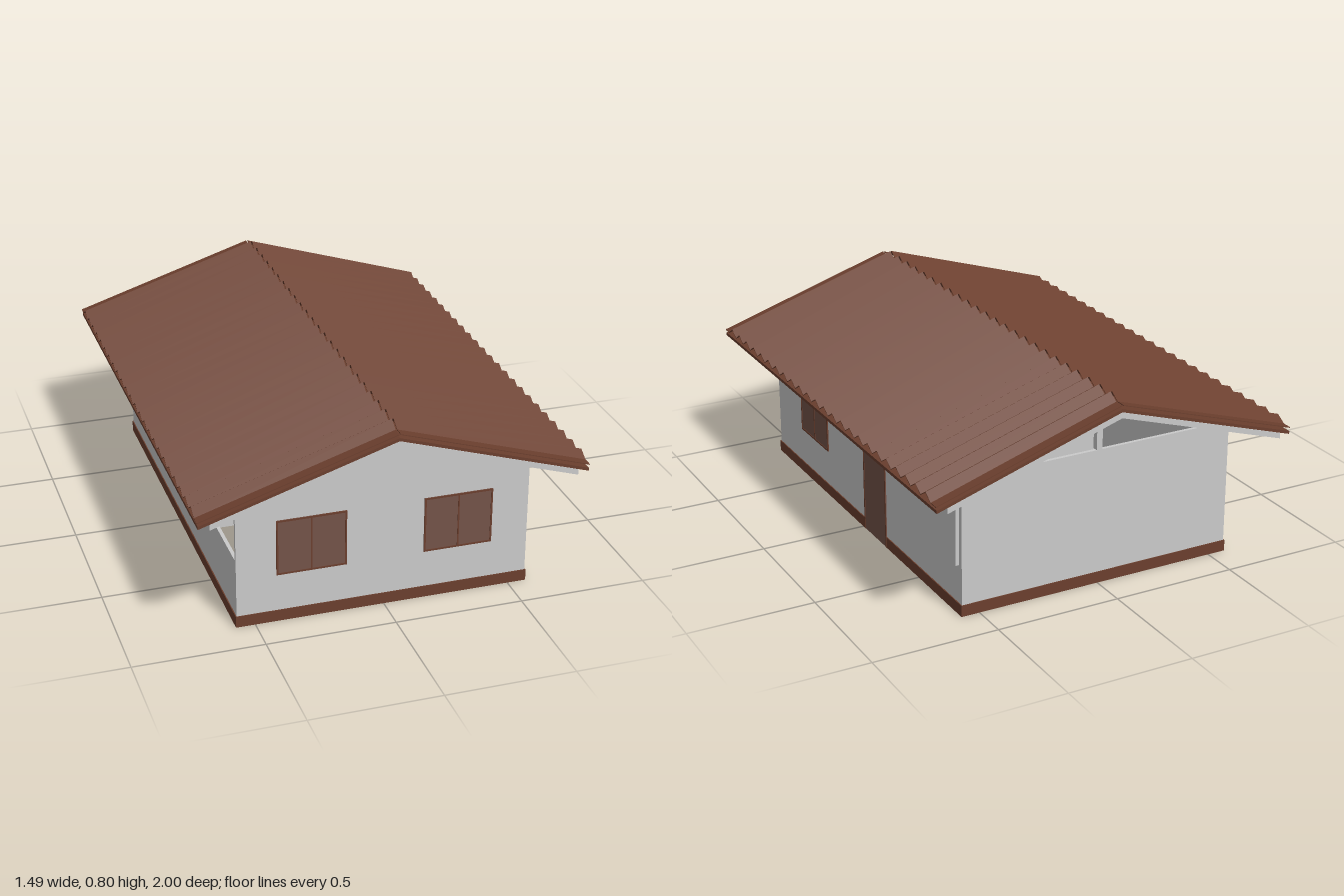
import * as THREE from 'three';

const mat = (name, color) => {
  const m = new THREE.MeshStandardMaterial({ color, side: THREE.DoubleSide });
  m.name = name;
  return m;
};

export function createModel() {
  const house = new THREE.Group();
  house.name = 'house';
  const wall = mat('wall grey', 0xcacaca);
  const brown = mat('roof brown', 0x6b3f2e);
  const pane = mat('shutter brown', 0x745349);
  const dark = mat('lamp grey', 0x4a4a4a);

  const W = 0.57, Z0 = -0.85, Z1 = 0.855, T = 0.014, EAVE = 0.545, APEX = 0.725;
  const SLOPE = 0.315;

  const add = (name, geo, material, parent = house) => {
    const m = new THREE.Mesh(geo, material);
    m.name = name;
    parent.add(m);
    return m;
  };
  // box given by its minimum and maximum corners
  const box = (name, material, a, b, parent) => {
    const m = add(name, new THREE.BoxGeometry(b[0] - a[0], b[1] - a[1], b[2] - a[2]), material, parent);
    m.position.set((a[0] + b[0]) / 2, (a[1] + b[1]) / 2, (a[2] + b[2]) / 2);
    return m;
  };
  // outline in x and y, extruded from z0 to z1
  const prism = (name, material, pts, z0, z1) => {
    const shape = new THREE.Shape(pts.map(p => new THREE.Vector2(...p)));
    const geo = new THREE.ExtrudeGeometry(shape, { depth: z1 - z0, bevelEnabled: false });
    geo.translate(0, 0, z0);
    return add(name, geo, material);
  };

  // Walls: gabled front and partition, flat-topped back with open gable
  const gable = [[-W, 0], [W, 0], [W, EAVE], [0, APEX], [-W, EAVE]];
  prism('frontWall', wall, gable, Z1 - T, Z1);
  prism('partitionWall', wall, gable, 0.1, 0.1 + T);
  box('backWall', wall, [-W, 0, Z0], [W, EAVE, Z0 + T]);
  box('gablePost', wall, [-0.012, EAVE, Z0], [0.012, APEX, Z0 + 0.024]);
  box('rightWall', wall, [W - T, 0, Z0], [W, EAVE, Z1]);
  box('leftWall', wall, [-W, 0, Z0], [-W + T, EAVE, 0.235]);
  box('leftParapet', wall, [-W, 0, 0.235], [-W + T, 0.275, Z1]);
  box('rightWallPanel', wall, [W, 0.2, -0.83], [W + 0.014, EAVE - 0.005, -0.44]);

  // Brown plinth around the outside, interrupted by the door
  const P = 0.004, PH = 0.045;
  box('plinthFront', brown, [-W - P, 0, Z1], [W + P, PH, Z1 + P]);
  box('plinthBack', brown, [-W - P, 0, Z0 - P], [W + P, PH, Z0]);
  box('plinthLeft', brown, [-W - P, 0, Z0], [-W, PH, Z1]);
  box('plinthRightBack', brown, [W, 0, Z0], [W + P, PH, -0.215]);
  box('plinthRightFront', brown, [W, 0, -0.015], [W + P, PH, Z1]);

  // Shuttered opening, lying in the xy plane and showing on both wall faces
  const opening = (name, w, y0, y1, isDoor) => {
    const g = new THREE.Group();
    g.name = name;
    const f = 0.007, d = T / 2 + 0.003, e = d + 0.002, h = w / 2;
    box('panel', pane, [-h, y0, -d], [h, y1, d], g);
    for (const s of [-1, 1]) {
      const x = s * (h - f / 2);
      box('frameSide', brown, [x - f / 2, y0, -e], [x + f / 2, y1, e], g);
    }
    box('frameTop', brown, [-h, y1 - f, -e], [h, y1, e], g);
    if (!isDoor) {
      box('frameBottom', brown, [-h, y0, -e], [h, y0 + f, e], g);
      box('frameMiddle', brown, [-0.003, y0, -e], [0.003, y1, e], g);
    }
    house.add(g);
    return g;
  };
  opening('frontWindowRight', 0.27, 0.195, 0.42).position.set(-0.282, 0, Z1 - T / 2);
  opening('frontWindowLeft', 0.27, 0.195, 0.42).position.set(0.29, 0, Z1 - T / 2);
  const side = [
    opening('sideWindow', 0.27, 0.195, 0.415),
    opening('sideDoor', 0.2, 0, 0.39, true),
  ];
  side.forEach((g, i) => {
    g.position.set(W - T / 2, 0, [0.47, -0.115][i]);
    g.rotation.y = Math.PI / 2;
  });
  box('doorLamp', dark, [W, 0.425, -0.13], [W + 0.008, 0.438, -0.112]);

  // Roof slabs: grey soffit with a wider brown deck above
  const chevron = (top, x, t) => {
    const y = top - SLOPE * x;
    return [[-x, y - t], [0, top - t], [x, y - t], [x, y], [0, top], [-x, y]];
  };
  prism('roofSoffit', wall, chevron(0.747, 0.7, 0.022), -1, 1);
  prism('roofDeck', brown, chevron(0.76, 0.742, 0.012), -1, 1);

  // Folded roof sheets: zigzag profile run down each slope
  const zig = [[-1, 0.775]];
  for (let i = 0; i <= 48; i++) zig.push([-0.96 + i * 0.04, i % 2 ? 0.8 : 0.775]);
  zig.push([1, 0.775]);
  const under = zig.map(([a, y]) => [a, y - 0.003]).reverse();
  const profile = new THREE.Shape([...zig, ...under].map(p => new THREE.Vector2(...p)));
  const sheet = new THREE.ExtrudeGeometry(profile, { depth: 0.742, bevelEnabled: false });
  sheet.rotateY(Math.PI / 2);
  const pos = sheet.attributes.position;
  for (let i = 0; i < pos.count; i++) {
    pos.setY(i, pos.getY(i) - SLOPE * pos.getX(i));
    pos.setX(i, pos.getX(i) + 0.003);
  }
  sheet.computeVertexNormals();
  add('roofSheetLeft', sheet, brown);
  add('roofSheetRight', sheet, brown).rotation.y = Math.PI;

  return house;
}
